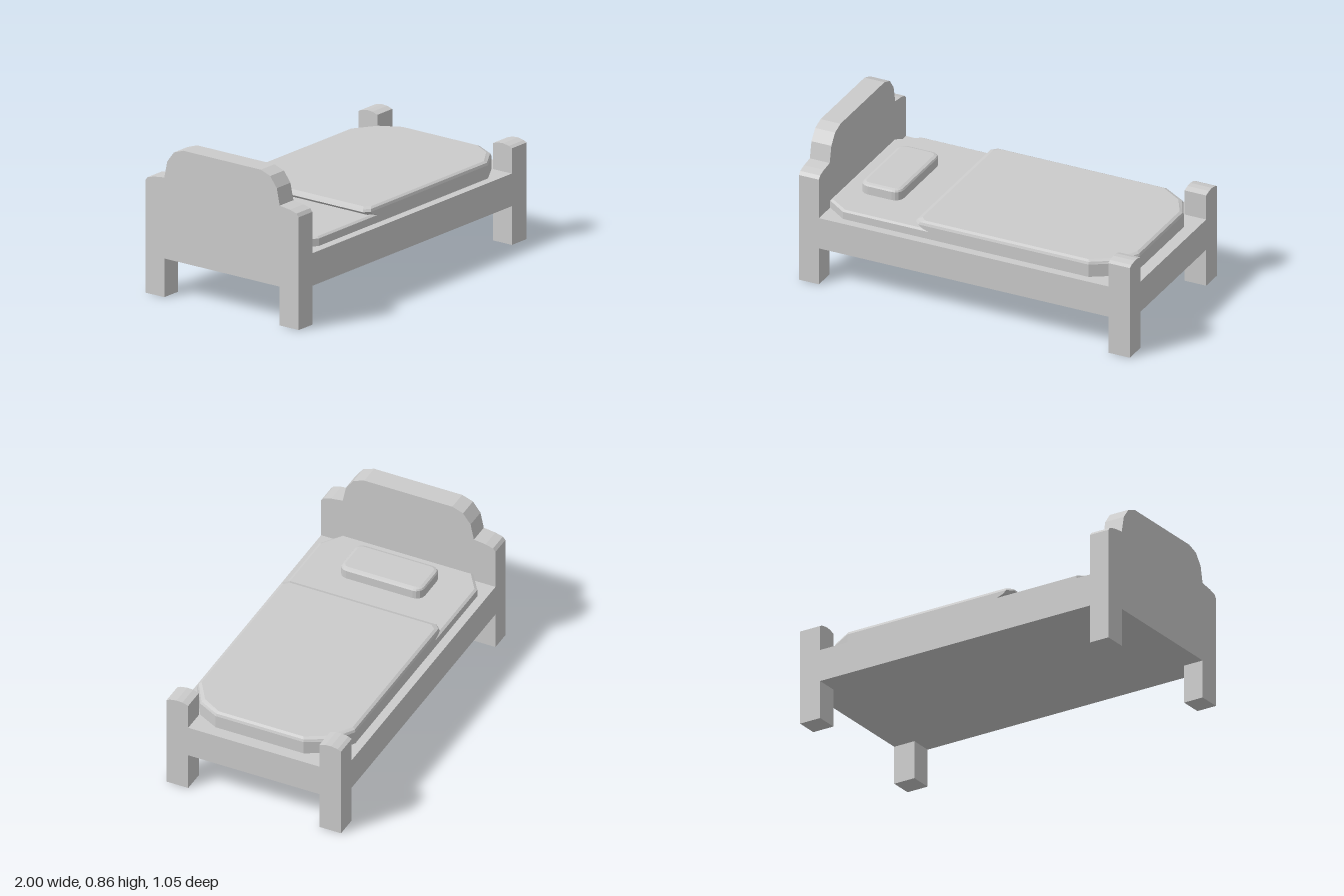
import * as THREE from 'three';

const material = new THREE.MeshStandardMaterial({ color: 0xcccccc, flatShading: true });

function part(name, geometry) {
  const mesh = new THREE.Mesh(geometry, material);
  mesh.name = name;
  return mesh;
}

// Bed end: half profile [z, y] mirrored across z = 0, extruded along x
function bedEnd(name, half, x0, x1) {
  const mirrored = half.map(([z, y]) => [-z, y]).reverse();
  const shape = new THREE.Shape([...half, ...mirrored].map(p => new THREE.Vector2(...p)));
  const geometry = new THREE.ExtrudeGeometry(shape, { depth: x1 - x0, bevelEnabled: false });
  geometry.rotateY(-Math.PI / 2).translate(x1, 0, 0);
  return part(name, geometry);
}

// Closed solid through stacked convex outlines; each layer is { y, outline: [[x, z], ...] }
function loft(layers) {
  const pos = [], index = [];
  const n = layers[0].outline.length;
  layers.forEach(({ y, outline }) => outline.forEach(([x, z]) => pos.push(x, y, z)));
  for (let k = 0; k < layers.length - 1; k++) {
    for (let i = 0; i < n; i++) {
      const j = (i + 1) % n, a = k * n + i, b = k * n + j;
      index.push(a, b, b + n, a, b + n, a + n);
    }
  }
  const top = (layers.length - 1) * n;
  for (let i = 1; i < n - 1; i++) {
    index.push(0, i + 1, i, top, top + i, top + i + 1);
  }
  const geometry = new THREE.BufferGeometry();
  geometry.setAttribute('position', new THREE.Float32BufferAttribute(pos, 3));
  geometry.setIndex(index);
  const flat = geometry.toNonIndexed();
  flat.computeVertexNormals();
  return flat;
}

// Symmetric outline from its +x end to its -x end on the back (-z) side
function mirrorOutline(half) {
  return [...half, ...half.map(([x, z]) => [x, -z]).reverse()];
}

// Foot-end corners shared by mattress and blanket, pulled in by d
const footCorners = d => [
  [0.925 - d, -0.265 + d * 0.5], [0.86 - d, -0.39 + d], [0.72 - d * 0.5, -0.475 + d],
];

const mattressOutline = d => mirrorOutline([
  ...footCorners(d), [-0.76 + d * 0.5, -0.475 + d], [-0.88 + d, -0.39 + d * 0.5],
]);

const blanketOutline = (x, d) => mirrorOutline([
  ...footCorners(d), [x + 0.03, -0.475 + d], [x, -0.445 + d],
]);

function pillowOutline(d) {
  const half = [], r = 0.05;
  for (const [cx, start] of [[-0.58, 0], [-0.725, Math.PI / 2]]) {
    for (let i = 0; i <= 4; i++) {
      const a = start + i * Math.PI / 8;
      half.push([cx + (r - d) * Math.cos(a), -0.2 - (r - d) * Math.sin(a)]);
    }
  }
  return mirrorOutline(half);
}

export function createModel() {
  const bed = new THREE.Group();
  bed.name = 'bed';

  // Headboard with its two legs
  bed.add(bedEnd('headboard', [
    [0.395, 0.22], [0.395, 0], [0.525, 0], [0.525, 0.64], [0.51, 0.658], [0.465, 0.671],
    [0.395, 0.68], [0.375, 0.775], [0.33, 0.835], [0.265, 0.858],
  ], -1, -0.88));

  // Foot rail with its two round-topped posts
  bed.add(bedEnd('footboard', [
    [0.395, 0.22], [0.395, 0], [0.525, 0], [0.525, 0.548], [0.505, 0.558], [0.465, 0.565],
    [0.43, 0.563], [0.395, 0.552], [0.395, 0.405],
  ], 0.865, 0.995));

  // Solid bed base
  const base = part('base', new THREE.BoxGeometry(1.745, 0.185, 1.05));
  base.position.set(-0.0075, 0.3125, 0);
  bed.add(base);

  // Mattress
  bed.add(part('mattress', loft([
    { y: 0.405, outline: mattressOutline(0) },
    { y: 0.448, outline: mattressOutline(0) },
    { y: 0.456, outline: mattressOutline(0.014) },
  ])));

  // Blanket with an overhanging rolled edge towards the pillow
  bed.add(part('blanket', loft([
    { y: 0.446, outline: blanketOutline(-0.27, 0) },
    { y: 0.463, outline: blanketOutline(-0.315, 0) },
    { y: 0.48, outline: blanketOutline(-0.335, 0) },
    { y: 0.494, outline: blanketOutline(-0.328, 0.005) },
    { y: 0.502, outline: blanketOutline(-0.305, 0.02) },
  ])));

  // Pillow
  bed.add(part('pillow', loft([
    { y: 0.45, outline: pillowOutline(0) },
    { y: 0.505, outline: pillowOutline(0) },
    { y: 0.514, outline: pillowOutline(0.006) },
    { y: 0.519, outline: pillowOutline(0.022) },
  ])));

  return bed;
}
